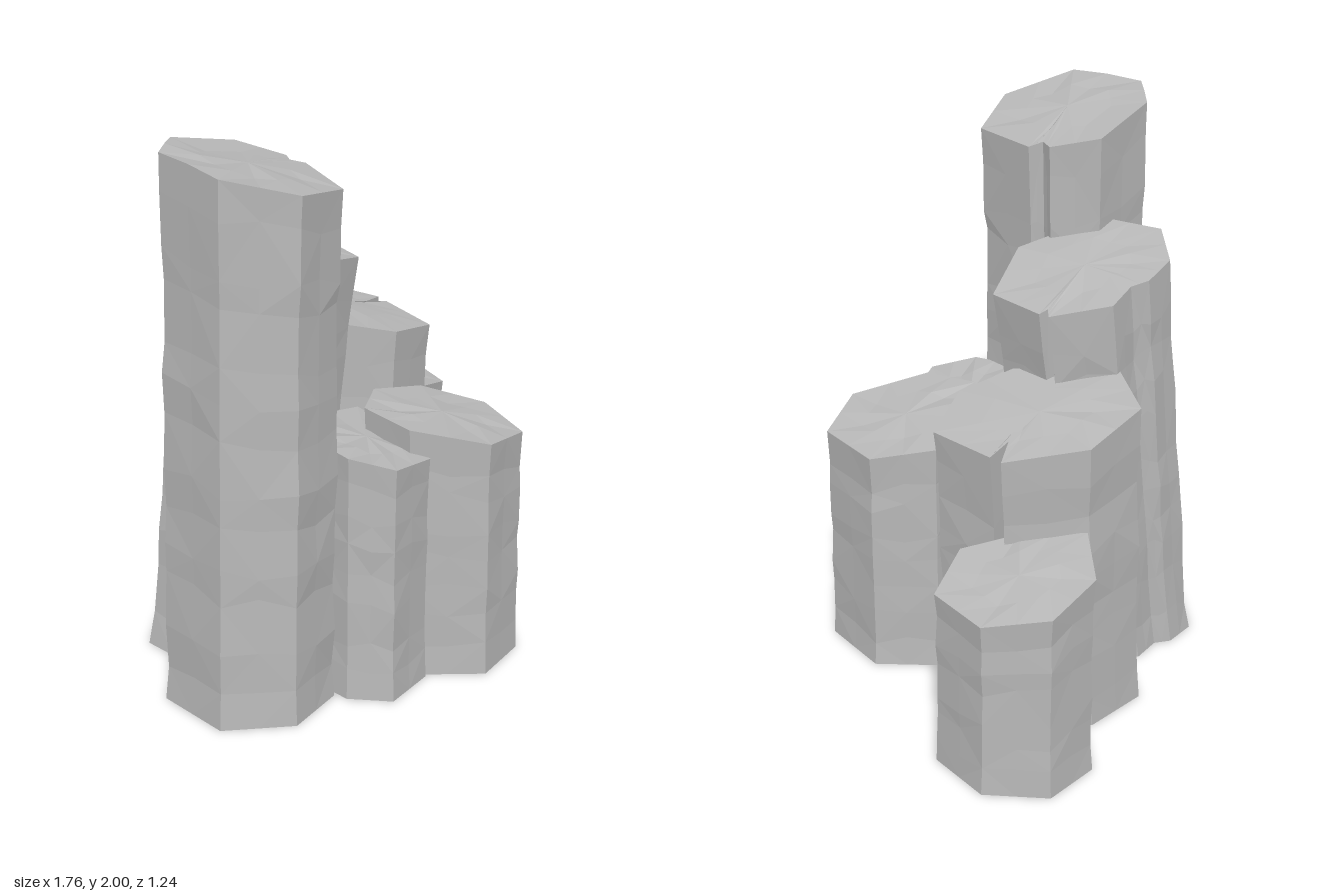
import * as THREE from 'three';

// outline: corners [x, z] of the top, clockwise from the back as seen from above
// h: height at the centre, slope: fall of the top along x and z
// lean: shift of the foot relative to the top
const COLUMNS = [
  { name: 'tallColumn', h: 1.94, slope: [-0.2, -0.15], lean: [-0.045, -0.01], rings: 13,
    outline: [[-0.61, -0.29], [-0.36, -0.22], [-0.3, -0.05], [-0.335, -0.01], [-0.3, 0.03], [-0.42, 0.27], [-0.66, 0.285], [-0.84, 0.09], [-0.78, -0.2]] },
  { name: 'backColumn', h: 1.525, slope: [-0.25, -0.1], lean: [-0.14, -0.08], rings: 11,
    outline: [[-0.25, -0.53], [-0.13, -0.5], [-0.09, -0.45], [0.02, -0.43], [0.11, -0.23], [0.07, -0.21], [0.1, -0.19], [0.02, 0.02], [-0.25, 0.045], [-0.46, -0.18], [-0.42, -0.43]] },
  { name: 'middleColumn', h: 1.15, slope: [-0.22, -0.1], lean: [-0.04, -0.01], rings: 9,
    outline: [[0.155, -0.595], [0.39, -0.51], [0.51, -0.235], [0.36, -0.205], [0.49, -0.185], [0.4, 0.07], [0.17, 0.08], [0.02, -0.06], [-0.03, -0.44]] },
  { name: 'rightColumn', h: 0.74, slope: [-0.23, -0.1], lean: [0, 0], rings: 7,
    outline: [[0.59, -0.62], [0.8, -0.555], [0.88, -0.33], [0.765, -0.105], [0.54, -0.095], [0.43, -0.27], [0.38, -0.5]] },
  { name: 'frontColumn', h: 0.92, slope: [-0.18, -0.12], lean: [0, 0], rings: 8,
    outline: [[0.03, 0.08], [0.24, 0.14], [0.33, 0.36], [0.2, 0.6], [-0.03, 0.615], [-0.2, 0.39], [-0.17, 0.18]] },
  { name: 'frontLeftColumn', h: 0.9, slope: [-0.18, -0.14], lean: [-0.01, 0], rings: 8,
    outline: [[-0.28, 0], [0, 0.03], [-0.03, 0.22], [-0.16, 0.45], [-0.37, 0.455], [-0.45, 0.31], [-0.42, 0.13]] },
];

// small seeded generator
function seeded(seed) {
  return () => {
    seed = (seed * 1664525 + 1013904223) % 4294967296;
    return seed / 4294967296;
  };
}

// lofted stone column with slightly chipped sides and a sloping top
function columnGeometry({ outline, h, slope, lean, rings }, seed) {
  const rnd = seeded(seed);
  const n = outline.length * 2;

  // corners plus edge midpoints
  const loop = outline.flatMap(([x, z], i) => {
    const [nx, nz] = outline[(i + 1) % outline.length];
    return [[x, z], [(x + nx) / 2, (z + nz) / 2]];
  });
  const xs = outline.map(p => p[0]), zs = outline.map(p => p[1]);
  const cx = (Math.min(...xs) + Math.max(...xs)) / 2;
  const cz = (Math.min(...zs) + Math.max(...zs)) / 2;
  const topAt = (x, z) => Math.min(2, h + slope[0] * (x - cx) + slope[1] * (z - cz));

  const pos = [], idx = [];
  for (let r = 0; r <= rings; r++) {
    const end = r === 0 || r === rings;
    const t = end ? r / rings : (r + (rnd() - 0.5) * 0.5) / rings;
    const pinch = end ? 1 : 1 - rnd() * 0.025;
    for (const [x, z] of loop) {
      const s = end ? 1 : pinch - rnd() * 0.025;
      const dy = end ? 0 : (rnd() - 0.5) * 0.04;
      pos.push(cx + (x - cx) * s + lean[0] * (1 - t), topAt(x, z) * t + dy, cz + (z - cz) * s + lean[1] * (1 - t));
    }
  }

  // sides
  for (let r = 0; r < rings; r++) {
    for (let i = 0; i < n; i++) {
      const a = r * n + i, b = r * n + (i + 1) % n;
      if ((r + i) % 2) idx.push(a, a + n, b + n, a, b + n, b);
      else idx.push(a, a + n, b, b, a + n, b + n);
    }
  }

  // worn top: an uneven inner ring and a centre point
  const top = rings * n, inner = pos.length / 3;
  for (const [x, z] of loop) {
    const px = cx + (x - cx) * 0.55, pz = cz + (z - cz) * 0.55;
    pos.push(px, Math.min(2, topAt(px, pz) + (rnd() - 0.4) * 0.015), pz);
  }
  const centre = pos.length / 3;
  pos.push(cx, h + 0.008, cz);
  const foot = centre + 1;
  pos.push(cx + lean[0], 0, cz + lean[1]);
  for (let i = 0; i < n; i++) {
    const j = (i + 1) % n;
    idx.push(inner + i, top + j, top + i, inner + i, inner + j, top + j);
    idx.push(centre, inner + j, inner + i);
    idx.push(foot, i, j);
  }

  const g = new THREE.BufferGeometry();
  g.setAttribute('position', new THREE.Float32BufferAttribute(pos, 3));
  g.setIndex(idx);
  const flat = g.toNonIndexed();
  flat.computeVertexNormals();
  return flat;
}

export function createModel() {
  const group = new THREE.Group();
  group.name = 'basaltColumns';
  const stone = new THREE.MeshStandardMaterial({ color: 0xb8b8b8 });
  stone.name = 'grey stone';
  stone.flatShading = true;

  COLUMNS.forEach((column, i) => {
    const mesh = new THREE.Mesh(columnGeometry(column, 17 + i * 101), stone);
    mesh.name = column.name;
    group.add(mesh);
  });
  return group;
}
